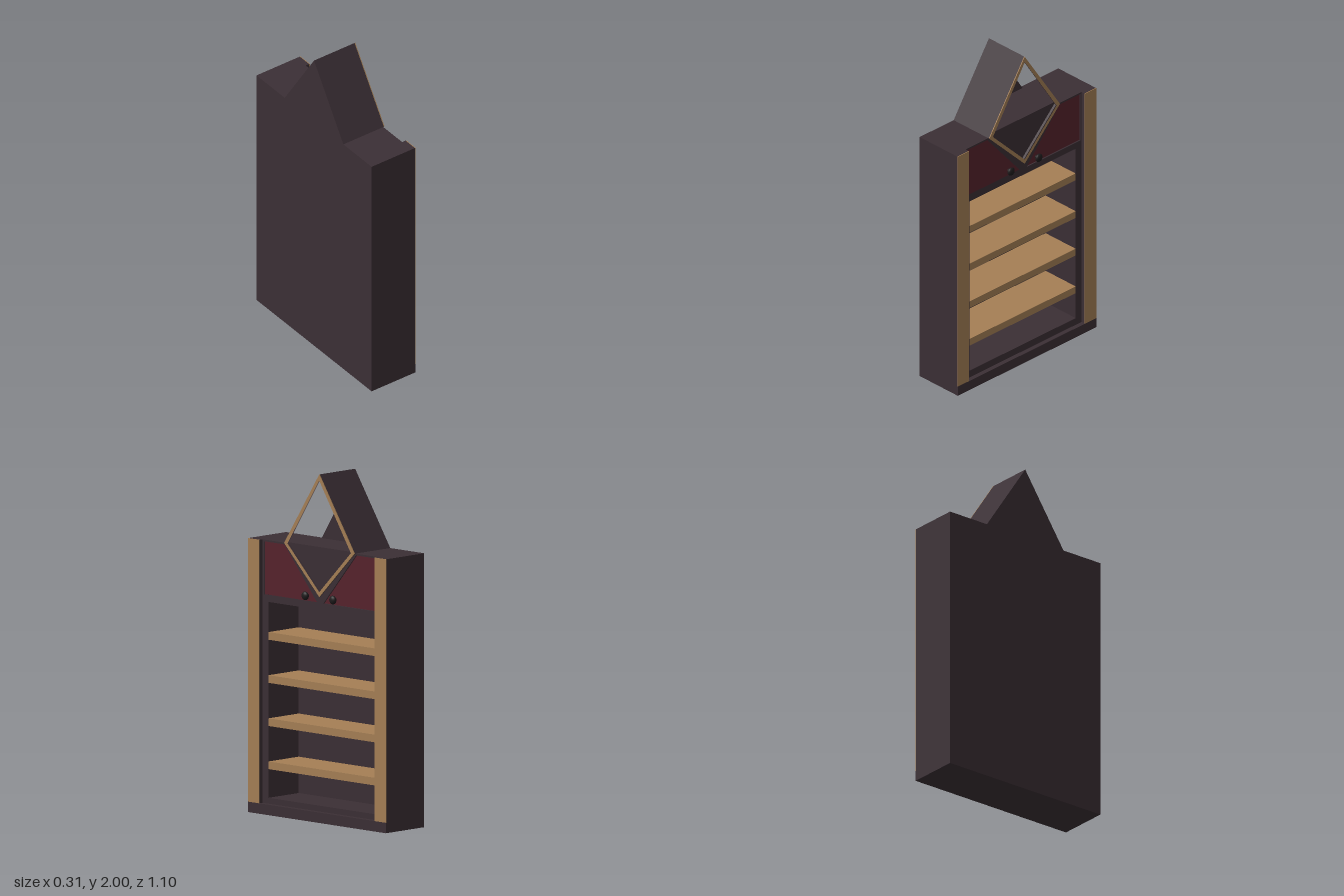
import * as THREE from 'three';

const mat = (color) => new THREE.MeshStandardMaterial({ color, flatShading: true });

export function createModel() {
  const model = new THREE.Group();
  const dark = mat(0x3b2f35), wood = mat(0xa57f55), red = mat(0x56222c);
  const black = new THREE.MeshStandardMaterial({ color: 0x1e1b1c });
  const BACK = -0.155, FRONT = 0.155, TOP = 1.575;

  const add = (name, geometry, material) => {
    const mesh = new THREE.Mesh(geometry, material);
    mesh.name = name;
    model.add(mesh);
    return mesh;
  };

  // Box given by its extents on each axis
  const box = (name, material, [x0, x1], [y0, y1], [z0, z1]) => {
    const g = new THREE.BoxGeometry(x1 - x0, y1 - y0, z1 - z0);
    g.translate((x0 + x1) / 2, (y0 + y1) / 2, (z0 + z1) / 2);
    return add(name, g, material);
  };

  // Outline of [z, y] points extruded along x
  const vec = (pts) => pts.map(([z, y]) => new THREE.Vector2(-z, y));
  const slab = (name, material, [x0, x1], outline, holes = []) => {
    const shape = new THREE.Shape(vec(outline));
    holes.forEach((h) => shape.holes.push(new THREE.Path(vec(h))));
    const g = new THREE.ExtrudeGeometry(shape, { depth: x1 - x0, bevelEnabled: false });
    g.rotateY(Math.PI / 2).translate(x0, 0, 0);
    return add(name, g, material);
  };
  const mirror = (pts) => pts.map(([z, y]) => [-z, y]);

  // Carcass
  box('plinth', dark, [BACK, FRONT], [0, 0.06], [-0.55, 0.55]);
  box('cabinetFloor', dark, [BACK, 0.11], [0.06, 0.09], [-0.43, 0.43]);
  box('backPanel', dark, [BACK, -0.135], [0.09, 1.22], [-0.43, 0.43]);
  box('header', dark, [BACK, 0.1], [1.22, TOP], [-0.43, 0.43]);

  // Side walls with wooden pilaster faces
  for (const s of [-1, 1]) {
    const span = (a, b) => [Math.min(s * a, s * b), Math.max(s * a, s * b)];
    box('sideWall', dark, [BACK, 0.11], [0.06, TOP], span(0.43, 0.46));
    box('sidePost', dark, [BACK, 0.151], [0.06, TOP], span(0.46, 0.55));
    box('pilasterFace', wood, [0.151, FRONT], [0.06, TOP], span(0.46, 0.55));
  }

  // Face frame: V notch at the top, openings for the shelves and the doors
  const door = [[0.45, 1.26], [0.45, 1.565], [0.285, 1.565], [0.025, 1.26]];
  const opening = [[-0.43, 0.09], [0.43, 0.09], [0.43, 1.22], [-0.43, 1.22]];
  slab('faceFrame', dark, [0.1, 0.127], [
    [-0.46, 0.06], [0.46, 0.06], [0.46, TOP], [0.28, TOP],
    [0, 1.295], [-0.28, TOP], [-0.46, TOP],
  ], [opening, door, mirror(door)]);

  // Doors and knobs
  for (const s of [-1, 1]) {
    slab('doorPanel', red, [0.09, 0.119], s > 0 ? door : mirror(door));
    const stem = add('knobStem', new THREE.CylinderGeometry(0.012, 0.012, 0.02, 12), black);
    stem.rotation.z = Math.PI / 2;
    stem.position.set(0.125, 1.29, s * 0.11);
    const knob = add('knob', new THREE.SphereGeometry(0.025, 16, 12), black);
    knob.scale.x = 0.6;
    knob.position.set(0.138, 1.29, s * 0.11);
  }

  // Shelves
  for (let i = 0; i < 4; i++) {
    const y = 0.255 + i * 0.248;
    box('shelf', wood, [-0.135, 0.11], [y, y + 0.044], [-0.43, 0.43]);
  }

  // Diamond niche: sleeve, wooden rim and the closed gable behind it
  const outer = [[0, 1.295], [0.28, TOP], [0, 2], [-0.28, TOP]];
  const inner = [[0, 1.323], [0.252, TOP], [0, 1.964], [-0.252, TOP]];
  slab('nicheSleeve', dark, [BACK, 0.131], outer, [inner]);
  slab('nicheRim', wood, [0.131, 0.136], outer, [inner]);
  slab('nicheBack', dark, [BACK, -0.14], [[0.252, TOP], [0, 1.964], [-0.252, TOP]]);

  return model;
}
